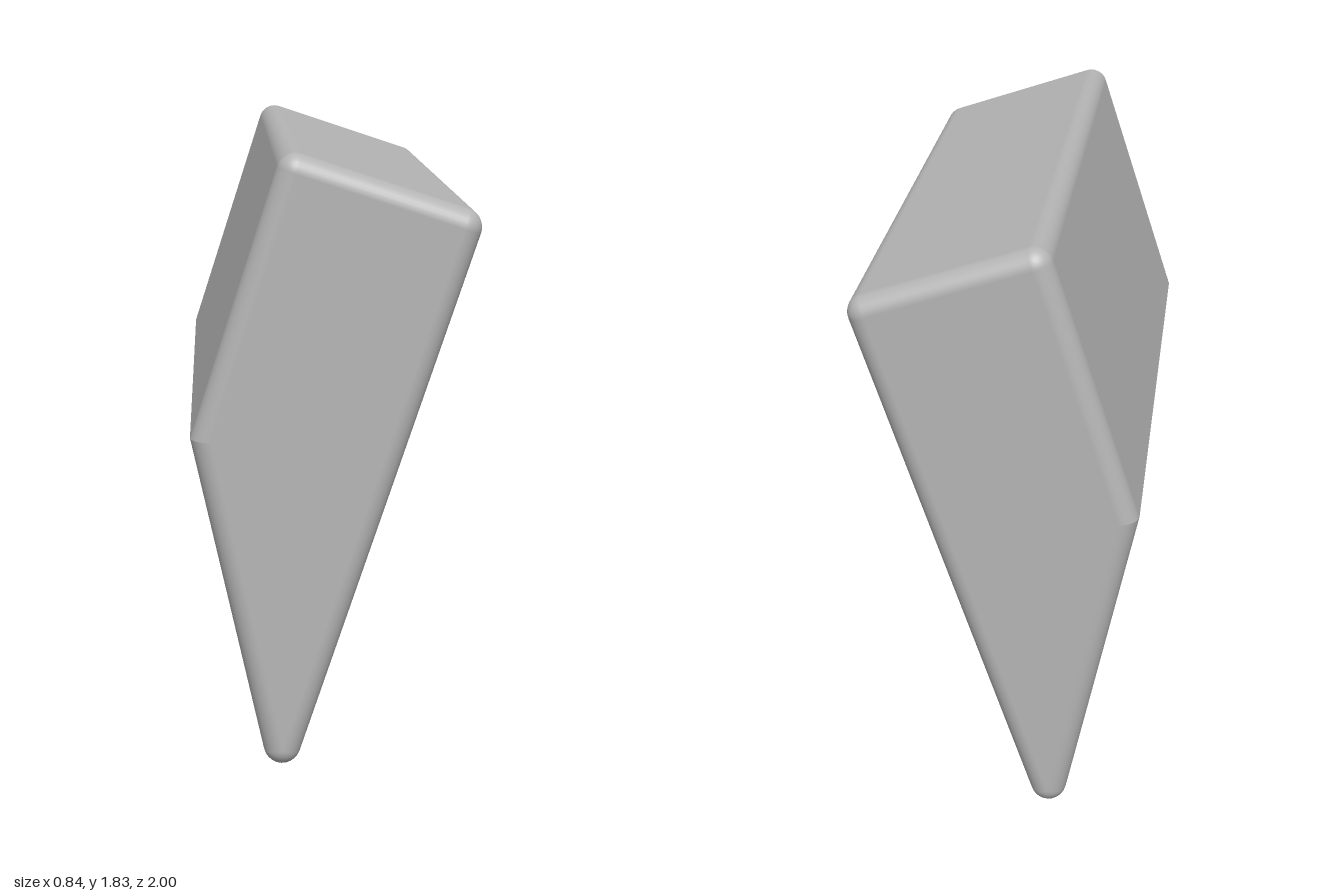
import * as THREE from 'three';
import { mergeGeometries } from 'three/addons/utils/BufferGeometryUtils.js';

const R = 0.056;          // edge rounding
const Z = 1 - R;          // half depth of the flat faces
const HOLE = 0.134;       // hole radius
const V = (x, y, z = 0) => new THREE.Vector3(x, y, z);
const AXIS = V(0, 0, 1);

// Collects quads with given normals; winding follows the normals.
class Quads {
  pos = [];
  nor = [];
  tri(p, n) {
    const face = p[1].clone().sub(p[0]).cross(p[2].clone().sub(p[0]));
    if (face.length() < 1e-9) return;
    const order = face.dot(n[0].clone().add(n[1]).add(n[2])) > 0 ? [0, 1, 2] : [0, 2, 1];
    for (const i of order) {
      this.pos.push(...p[i].toArray());
      this.nor.push(...n[i].toArray());
    }
  }
  quad(p, n) {
    this.tri([p[0], p[1], p[2]], [n[0], n[1], n[2]]);
    this.tri([p[0], p[2], p[3]], [n[0], n[2], n[3]]);
  }
  build() {
    const g = new THREE.BufferGeometry();
    g.setAttribute('position', new THREE.Float32BufferAttribute(this.pos, 3));
    g.setAttribute('normal', new THREE.Float32BufferAttribute(this.nor, 3));
    return g;
  }
}

export function createModel() {
  const grey = new THREE.MeshStandardMaterial({ color: 0xb4b4b4 });
  grey.name = 'grey';
  const group = new THREE.Group();
  group.name = 'wedgeBlock';

  // Profile inset by R: bottom, top right, top left, sharp left ridge
  const inner = [V(-0.157, 0.056), V(0.362, 1.618), V(-0.112, 1.776), V(-0.362, 1.007)];
  const edges = inner.map((p, i) => inner[(i + 1) % 4].clone().sub(p).normalize());
  const normals = edges.map((e) => V(e.y, -e.x));

  // Outline entries: p = inset point, d = offset direction, n = normal
  const outline = [];
  inner.forEach((p, i) => {
    const a = normals[(i + 3) % 4], b = normals[i];
    if (i === 3) {
      const d = a.clone().add(b).divideScalar(1 + a.dot(b));
      outline.push({ p, d, n: a, face: -1 }, { p, d, n: b, face: i });
      return;
    }
    const steps = 10, angle = a.angleTo(b);
    for (let k = 0; k <= steps; k++) {
      const d = a.clone().applyAxisAngle(AXIS, (angle * k) / steps);
      outline.push({ p, d, n: d, face: k === steps ? i : -1 });
    }
  });

  // Rounded edges around both ends, and rounded corners along the depth
  const body = new Quads();
  const point = (o, t, s) => o.p.clone().addScaledVector(o.d, R * Math.cos(t)).setZ(s * (Z + R * Math.sin(t)));
  const normal = (o, t, s) => o.n.clone().multiplyScalar(Math.cos(t)).setZ(s * Math.sin(t));
  const rings = 8;
  outline.forEach((a, i) => {
    const b = outline[(i + 1) % outline.length];
    for (const s of [1, -1]) {
      for (let k = 0; k < rings; k++) {
        const t = (k / rings) * Math.PI / 2, u = ((k + 1) / rings) * Math.PI / 2;
        body.quad([point(a, t, s), point(b, t, s), point(b, u, s), point(a, u, s)],
          [normal(a, t, s), normal(b, t, s), normal(b, u, s), normal(a, u, s)]);
      }
    }
    if (a.face < 0) {
      body.quad([point(a, 0, 1), point(b, 0, 1), point(b, 0, -1), point(a, 0, -1)], [a.n, b.n, b.n, a.n]);
    }
  });

  // Flat ends
  for (const s of [1, -1]) {
    const n = V(0, 0, s);
    body.quad(inner.map((p) => p.clone().setZ(s)), [n, n, n, n]);
  }

  // Hole rims: a circle on the right face, projected squarely through to the lower left face
  const count = 48;
  const start = inner[0].clone().addScaledVector(normals[0], R);
  const centre = start.clone().addScaledVector(edges[0], (0.24 - start.y) / edges[0].y);
  const planePoint = inner[3].clone().addScaledVector(normals[3], R);
  const rimA = [], rimB = [], inward = [];
  for (let k = 0; k < count; k++) {
    const t = (k / count) * Math.PI * 2;
    const dir = edges[0].clone().multiplyScalar(Math.cos(t)).setZ(Math.sin(t));
    const a = centre.clone().addScaledVector(dir, HOLE);
    const through = planePoint.clone().sub(a).dot(normals[3]) / normals[0].dot(normals[3]);
    rimA.push(a);
    rimB.push(a.clone().addScaledVector(normals[0], through));
    inward.push(dir.negate());
  }

  // Four long faces, two of them pierced
  const parts = [body.build()];
  outline.forEach((o, i) => {
    if (o.face < 0) return;
    const next = outline[(i + 1) % outline.length];
    const a = point(o, 0, 0), e = edges[o.face];
    const len = point(next, 0, 0).distanceTo(a);
    const shape = new THREE.Shape([[0, -Z], [len, -Z], [len, Z], [0, Z]].map((c) => new THREE.Vector2(...c)));
    const rim = { 0: rimA, 3: rimB }[o.face];
    if (rim) {
      shape.holes.push(new THREE.Path(rim.map((q) => new THREE.Vector2(q.clone().sub(a).dot(e), q.z))));
    }
    const g = new THREE.ShapeGeometry(shape).toNonIndexed();
    g.deleteAttribute('uv');
    g.applyMatrix4(new THREE.Matrix4().makeBasis(e, AXIS, normals[o.face]).setPosition(a));
    parts.push(g);
  });
  const block = new THREE.Mesh(mergeGeometries(parts), grey);
  block.name = 'block';

  // Hole wall
  const wall = new Quads();
  for (let k = 0; k < count; k++) {
    const j = (k + 1) % count;
    wall.quad([rimA[k], rimA[j], rimB[j], rimB[k]], [inward[k], inward[j], inward[j], inward[k]]);
  }
  const hole = new THREE.Mesh(wall.build(), grey);
  hole.name = 'holeWall';

  group.add(block, hole);
  return group;
}
